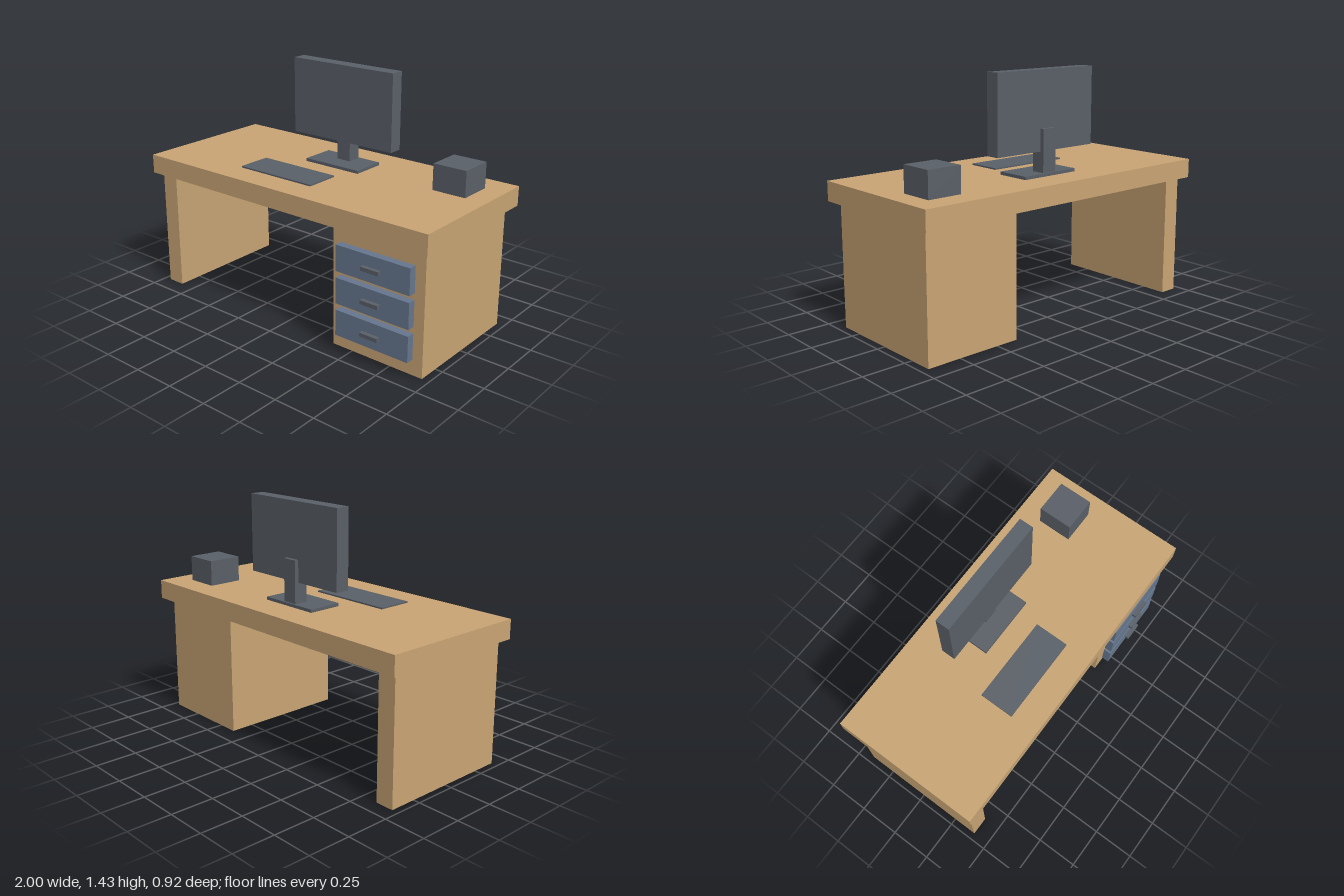
import * as THREE from 'three';

export function createModel() {
  const model = new THREE.Group();
  model.name = 'desk';

  const material = (name, color) => {
    const m = new THREE.MeshStandardMaterial({ color });
    m.name = name;
    return m;
  };
  const wood = material('wood', 0xc8a474);
  const blue = material('drawer blue', 0x66768d);
  const dark = material('dark grey', 0x5a6068);

  // Box given by its extents along each axis
  const box = (name, mat, [x0, x1], [y0, y1], [z0, z1], parent = model) => {
    const mesh = new THREE.Mesh(new THREE.BoxGeometry(x1 - x0, y1 - y0, z1 - z0), mat);
    mesh.position.set((x0 + x1) / 2, (y0 + y1) / 2, (z0 + z1) / 2);
    mesh.name = name;
    parent.add(mesh);
    return mesh;
  };

  // Desk body
  box('desktop', wood, [-1, 1], [0.726, 0.84], [-0.459, 0.442]);
  box('sidePanel', wood, [-0.96, -0.85], [0, 0.726], [-0.409, 0.398]);
  box('cabinet', wood, [0.37, 0.958], [0.003, 0.726], [-0.397, 0.381]);

  // Three drawers with handles
  ['bottom', 'middle', 'top'].forEach((level, i) => {
    const y = 0.175 + i * 0.19;
    const drawer = new THREE.Group();
    drawer.name = `${level}Drawer`;
    box('drawerFront', blue, [0.427, 0.9], [y - 0.076, y + 0.076], [0.388, 0.435], drawer);
    box('drawerHandle', dark, [0.608, 0.722], [y - 0.012, y + 0.011], [0.436, 0.461], drawer);
    model.add(drawer);
  });

  // Monitor
  const monitor = new THREE.Group();
  monitor.name = 'monitor';
  box('screen', dark, [-0.36, 0.355], [0.977, 1.431], [-0.232, -0.148], monitor);
  box('neck', dark, [-0.05, 0.043], [0.857, 1.106], [-0.256, -0.171], monitor);
  box('stand', dark, [-0.195, 0.187], [0.84, 0.858], [-0.267, -0.06], monitor);
  model.add(monitor);

  // Items on the desktop
  box('keyboard', dark, [-0.406, 0.118], [0.84, 0.849], [0.068, 0.276]);
  box('deskCube', dark, [0.667, 0.873], [0.84, 0.992], [-0.31, -0.103]);

  return model;
}
